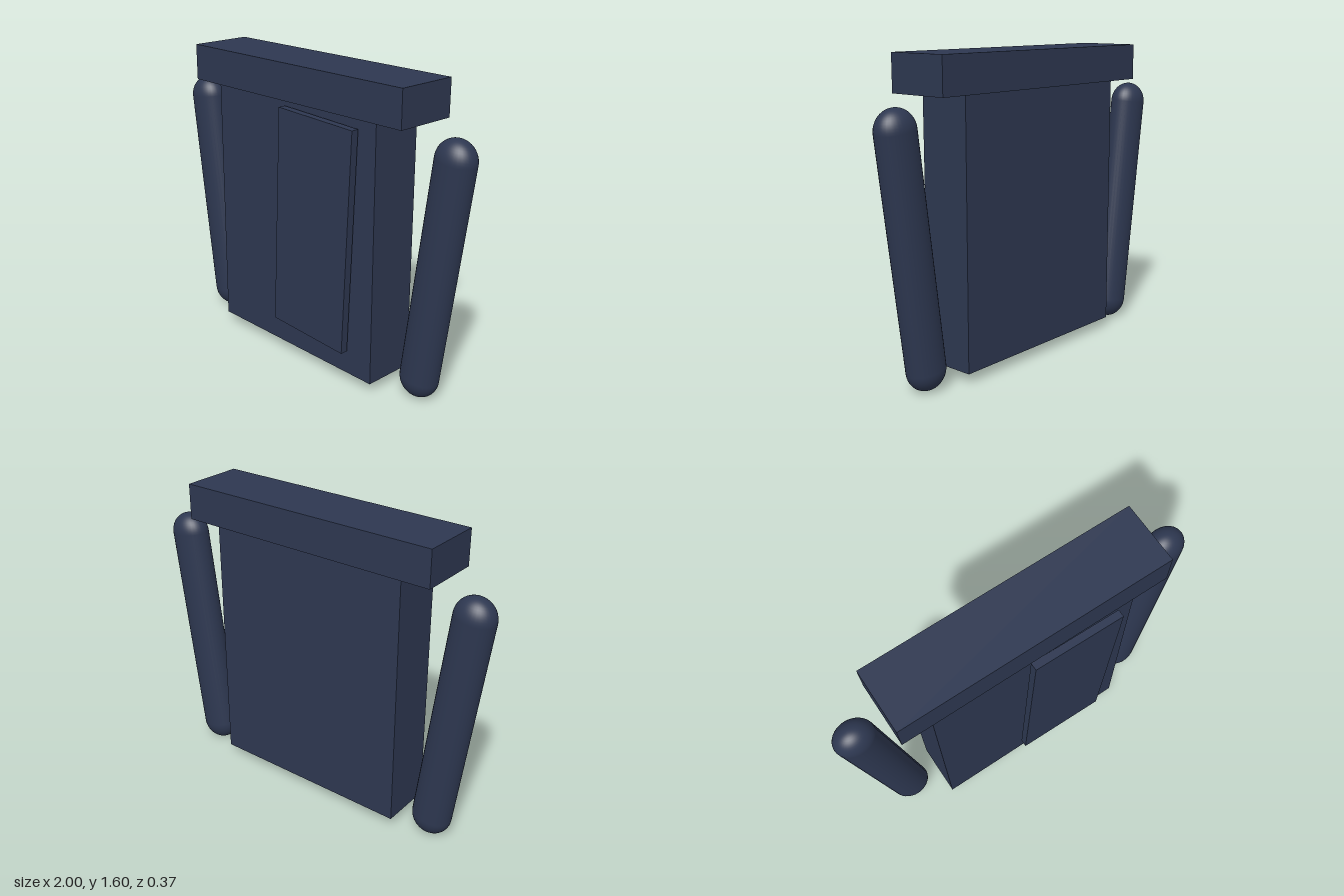
import * as THREE from 'three';

export function createModel() {
  const group = new THREE.Group();
  const cloth = new THREE.MeshStandardMaterial({ color: 0x2d3750 });

  function add(name, geometry, x, y, z, tilt = 0) {
    const mesh = new THREE.Mesh(geometry, cloth);
    mesh.name = name;
    mesh.position.set(x, y, z);
    mesh.rotation.z = tilt;
    group.add(mesh);
    return mesh;
  }

  // Torso slab and the wider shoulder bar resting on it
  add('torso', new THREE.BoxGeometry(1.13, 1.357, 0.285), 0, 0.7315, -0.0135);
  add('shoulders', new THREE.BoxGeometry(1.47, 0.19, 0.337), 0, 1.505, -0.0155);

  // Thin front flap, slightly tilted and standing just off the torso
  add('frontFlap', new THREE.BoxGeometry(0.503, 1.175, 0.041), 0.19, 0.786, 0.1645, -0.043);

  // Capsule sleeves, flattened in depth and leaning outwards at the top
  const sleeve = new THREE.CapsuleGeometry(0.107, 1.168, 12, 32);
  sleeve.scale(1, 1, 0.81);
  for (const side of [-1, 1]) {
    add(side > 0 ? 'leftSleeve' : 'rightSleeve', sleeve, side * 0.8175, 0.686, -0.043, side * -0.13);
  }

  return group;
}
